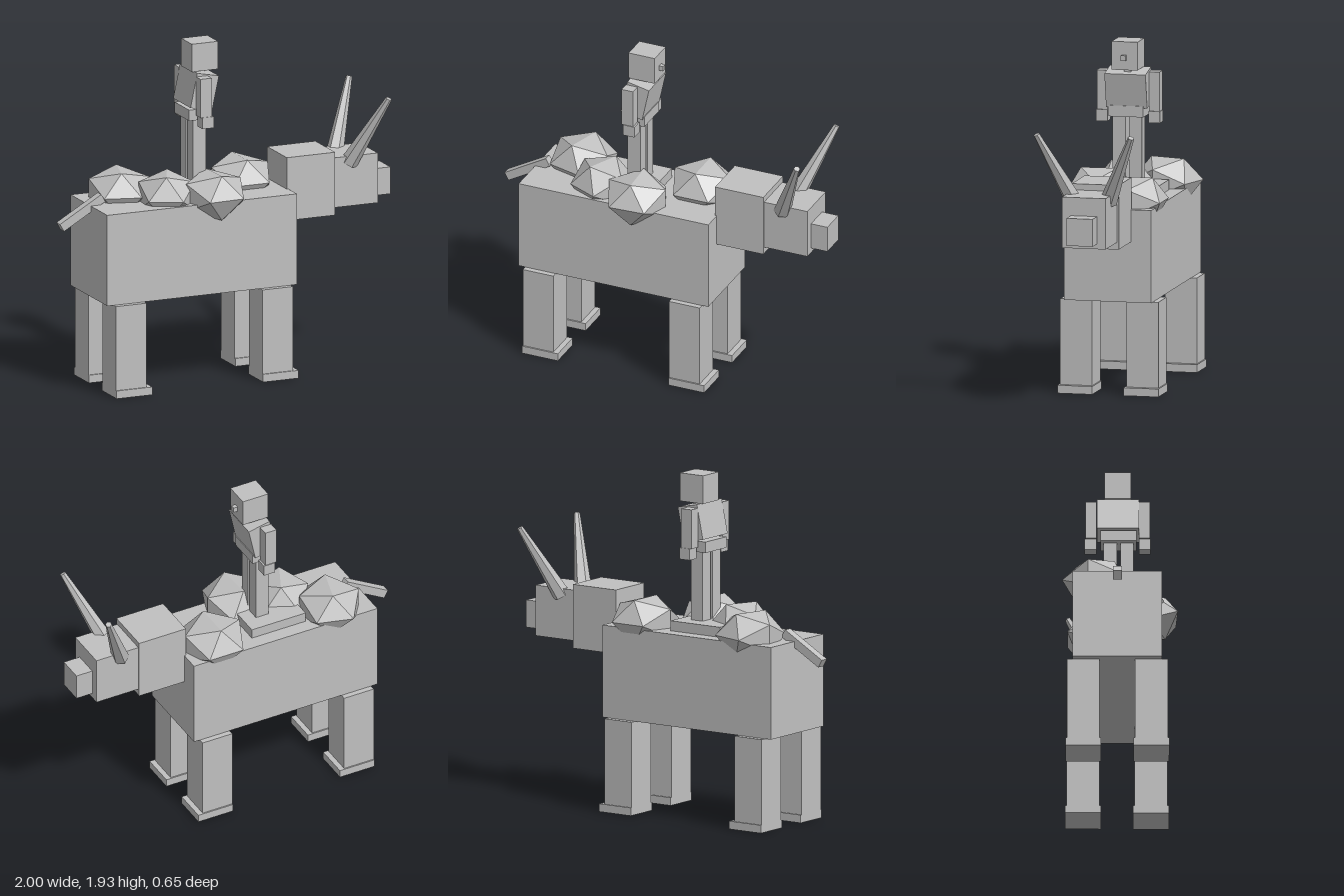
import * as THREE from 'three';

export function createModel() {
  const model = new THREE.Group();
  const stone = new THREE.MeshStandardMaterial({ color: 0xc0c0c0, flatShading: true });
  stone.name = 'plain grey';
  const midZ = -0.024; // the animal's centre plane

  function add(name, geometry, x, y, z) {
    const mesh = new THREE.Mesh(geometry, stone);
    mesh.name = name;
    mesh.position.set(x, y, z);
    model.add(mesh);
    return mesh;
  }
  // Box given by its limits in x and y, its centre and width in z
  function block(name, x0, x1, y0, y1, z, width) {
    return add(name, new THREE.BoxGeometry(x1 - x0, y1 - y0, width),
      (x0 + x1) / 2, (y0 + y1) / 2, z);
  }

  // Animal's body and head, facing +x
  block('body', -0.81, 0.35, 0.53, 1.053, midZ, 0.5);
  block('neck', 0.34, 0.635, 0.872, 1.235, midZ, 0.27);
  block('head', 0.63, 0.9, 0.913, 1.2, midZ, 0.25);
  block('snout', 0.895, 1, 0.942, 1.097, midZ, 0.15);

  // Legs with feet that stick out forward
  for (const side of [1, -1]) {
    for (const x of [-0.77, 0.125]) {
      const z = midZ + side * 0.19;
      block('leg', x, x + 0.187, 0, 0.53, z, 0.184);
      block('foot', x, x + 0.218, 0, 0.045, z, 0.2);
    }
  }

  // Tail sloping down and back
  const tail = add('tail', new THREE.BoxGeometry(0.292, 0.05, 0.05), -0.859, 1.018, midZ);
  tail.rotation.z = Math.PI / 6;

  // Tapering horns
  const up = new THREE.Vector3(0, 1, 0);
  for (const side of [1, -1]) {
    const base = new THREE.Vector3(0.735, 1.157, midZ + side * 0.1);
    const tip = new THREE.Vector3(0.902, 1.548, midZ + side * 0.272);
    const along = tip.clone().sub(base);
    const horn = add('horn', new THREE.CylinderGeometry(0.018, 0.05, along.length(), 6));
    horn.position.copy(base).add(tip).multiplyScalar(0.5);
    horn.quaternion.setFromUnitVectors(up, along.normalize());
  }

  // Boulders carried on the back: x, z, radius, yaw in degrees
  const boulders = [
    [-0.575, -0.14, 0.2, 74], [-0.37, 0.055, 0.185, 65],
    [-0.123, 0.14, 0.2, 93], [0.158, -0.13, 0.202, 90],
  ];
  for (const [x, z, r, yaw] of boulders) {
    const boulder = add('boulder', new THREE.IcosahedronGeometry(1, 0), x, 1.081, z);
    boulder.scale.set(r, 0.149, r);
    boulder.rotation.y = THREE.MathUtils.degToRad(yaw);
  }

  // Rider standing on a flat saddle
  block('saddle', -0.4, -0.06, 1.04, 1.11, midZ, 0.335);
  block('riderHips', -0.245, -0.105, 1.503, 1.565, midZ + 0.008, 0.2);
  const torso = add('riderTorso', new THREE.BoxGeometry(0.135, 0.2, 0.236), -0.157, 1.665, midZ + 0.005);
  torso.rotation.z = THREE.MathUtils.degToRad(-12);
  block('riderNeck', -0.16, -0.11, 1.74, 1.79, midZ, 0.04);
  block('riderHead', -0.215, -0.055, 1.775, 1.935, midZ + 0.003, 0.148);
  block('riderNose', -0.06, -0.03, 1.83, 1.86, midZ + 0.005, 0.028);
  for (const side of [1, -1]) {
    block('riderLeg', -0.215, -0.135, 1.11, 1.505, midZ + 0.008 + side * 0.047, 0.074);
    block('riderArm', -0.21, -0.14, 1.535, 1.757, midZ + 0.003 + side * 0.149, 0.062);
    block('riderHand', -0.2, -0.13, 1.47, 1.535, midZ + 0.003 + side * 0.151, 0.066);
  }

  return model;
}
